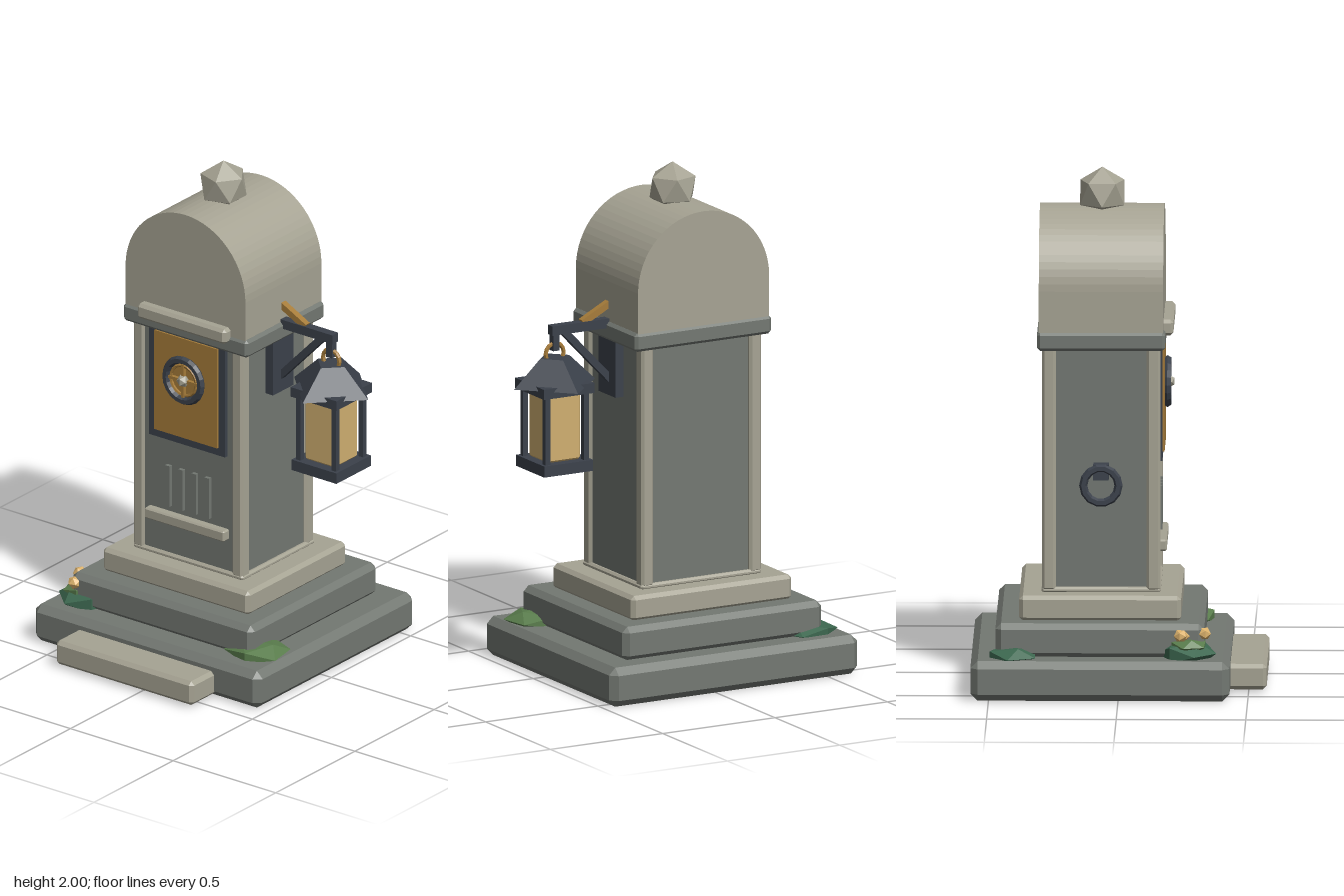
import * as THREE from 'three';
import { ConvexGeometry } from 'three/addons/geometries/ConvexGeometry.js';

const mat = (name, color, flat = true) => {
  const m = new THREE.MeshStandardMaterial({ color, flatShading: flat });
  m.name = name;
  return m;
};

export function createModel() {
  const root = new THREE.Group();
  root.name = 'lanternShrine';
  const darkStone = mat('darkStone', 0x737872);
  const paleStone = mat('paleStone', 0xa6a393);
  const iron = mat('iron', 0x3b414b);
  const brass = mat('brass', 0xa67c3a);
  const glass = mat('glass', 0xd0af70);
  const darkLeaf = mat('darkLeaf', 0x3c674f);
  const leaf = mat('leaf', 0x597c4c);
  const bloom = mat('bloom', 0xdcb26c);
  const CX = -0.08, CZ = -0.07;

  const add = (name, geo, material, x = 0, y = 0, z = 0, parent = root) => {
    const m = new THREE.Mesh(geo, material);
    m.name = name;
    m.position.set(x, y, z);
    parent.add(m);
    return m;
  };

  // Box given by its limits, with chamfered edges when c > 0
  const block = (name, material, x0, x1, y0, y1, z0, z1, c = 0, parent = root) => {
    const w = (x1 - x0) / 2, h = (y1 - y0) / 2, d = (z1 - z0) / 2;
    let geo;
    if (c > 0) {
      const pts = [];
      for (const i of [-1, 1]) for (const j of [-1, 1]) for (const k of [-1, 1]) {
        pts.push(new THREE.Vector3(i * w, j * (h - c), k * (d - c)),
          new THREE.Vector3(i * (w - c), j * h, k * (d - c)),
          new THREE.Vector3(i * (w - c), j * (h - c), k * d));
      }
      geo = new ConvexGeometry(pts);
    } else geo = new THREE.BoxGeometry(2 * w, 2 * h, 2 * d);
    return add(name, geo, material, (x0 + x1) / 2, (y0 + y1) / 2, (z0 + z1) / 2, parent);
  };

  // Square bar between two points in the x-y plane
  const strut = (name, material, ax, ay, bx, by, t, z) => {
    const m = add(name, new THREE.BoxGeometry(Math.hypot(bx - ax, by - ay), t, t),
      material, (ax + bx) / 2, (ay + by) / 2, z);
    m.rotation.z = Math.atan2(by - ay, bx - ax);
    return m;
  };

  // Stepped base
  block('base', darkStone, -0.63, 0.475, 0, 0.155, -0.57, 0.43, 0.028);
  block('middleStep', darkStone, -0.52, 0.365, 0.15, 0.285, -0.475, 0.33, 0.022);
  block('plinth', paleStone, -0.435, 0.28, 0.28, 0.38, -0.385, 0.24, 0.015);
  block('frontStep', paleStone, -0.41, 0.26, 0.01, 0.11, 0.36, 0.57, 0.015);

  // Shaft with corner posts
  block('shaft', darkStone, -0.325, 0.175, 0.37, 1.35, -0.285, 0.148);
  block('shaftFoot', paleStone, -0.345, 0.19, 0.375, 0.398, -0.3, 0.16, 0.008);
  for (const sx of [-1, 1]) for (const sz of [-1, 1]) {
    const x = CX + sx * 0.24, z = CZ + sz * 0.202;
    block('cornerPost', paleStone, x - 0.027, x + 0.027, 0.385, 1.34, z - 0.027, z + 0.027, 0.01);
  }

  // Collar, arched cap, lintel and finial
  block('collar', darkStone, -0.382, 0.225, 1.33, 1.403, -0.317, 0.178, 0.012);
  const R = 0.292;
  const arch = new THREE.Shape();
  arch.moveTo(-R, 1.4);
  arch.lineTo(R, 1.4);
  arch.absarc(0, 1.562, R, 0, Math.PI, false);
  arch.closePath();
  add('archedCap', new THREE.ExtrudeGeometry(arch, { depth: 0.48, bevelEnabled: false, curveSegments: 16 }),
    paleStone, CX, 0, -0.31);
  block('lintel', paleStone, -0.292, 0.14, 1.375, 1.437, 0.15, 0.208, 0.012);
  const ico = new THREE.IcosahedronGeometry(0.1, 0);
  ico.rotateZ(-Math.atan(2 / (1 + Math.sqrt(5))));
  add('finial', ico, paleStone, CX, 1.9, CZ);

  // Framed front panel
  block('panelFrame', iron, -0.262, 0.108, 0.88, 1.34, 0.14, 0.165);
  block('panel', brass, -0.23, 0.076, 0.912, 1.33, 0.16, 0.173);

  // Wheel medallion
  const wheel = new THREE.Group();
  wheel.name = 'medallion';
  wheel.position.set(CX, 1.16, 0.182);
  root.add(wheel);
  add('wheelRim', new THREE.TorusGeometry(0.085, 0.016, 6, 20), iron, 0, 0, 0, wheel);
  add('wheelInnerRing', new THREE.TorusGeometry(0.062, 0.007, 5, 20), brass, 0, 0, 0, wheel);
  add('wheelSpoke', new THREE.BoxGeometry(0.14, 0.012, 0.014), brass, 0, 0, 0, wheel);
  add('wheelSpoke', new THREE.BoxGeometry(0.012, 0.14, 0.014), brass, 0, 0, 0, wheel);
  add('wheelHub', new THREE.IcosahedronGeometry(0.026, 0), paleStone, 0, 0, 0.004, wheel);

  // Raised ribs and sill
  for (let i = 0; i < 4; i++) {
    const x = -0.174 + i * 0.064;
    block('rib', darkStone, x - 0.011, x + 0.011, 0.597, 0.768, 0.14, 0.163);
  }
  block('sill', paleStone, -0.273, 0.115, 0.528, 0.573, 0.14, 0.182, 0.006);

  // Ring handle on the side
  block('handleMount', iron, -0.385, -0.32, 0.825, 0.885, CZ - 0.03, CZ + 0.03);
  const ring = add('ringHandle', new THREE.TorusGeometry(0.068, 0.016, 6, 14), iron, -0.382, 0.805, CZ);
  ring.rotation.y = Math.PI / 2;

  // Bracket for the lantern
  const LX = 0.445;
  block('wallPlate', iron, 0.17, 0.212, 1.11, 1.38, CZ - 0.065, CZ + 0.065);
  block('bracketArm', iron, 0.19, 0.465, 1.378, 1.415, CZ - 0.018, CZ + 0.018);
  strut('bracketBrace', iron, 0.2, 1.17, 0.41, 1.39, 0.028, CZ);
  strut('braceRod', brass, 0.2, 1.475, 0.325, 1.41, 0.026, CZ);
  block('hanger', iron, LX - 0.014, LX + 0.014, 1.315, 1.39, CZ - 0.014, CZ + 0.014);
  add('hangingRing', new THREE.TorusGeometry(0.04, 0.009, 6, 14), brass, LX, 1.303, CZ);

  // Lantern
  const lantern = new THREE.Group();
  lantern.name = 'lantern';
  lantern.position.set(LX, 0, CZ);
  root.add(lantern);
  add('lanternRoof', new THREE.CylinderGeometry(0.065, 0.18, 0.108, 4), iron, 0, 1.234, 0, lantern);
  block('lanternTopPlate', iron, -0.112, 0.112, 1.155, 1.195, -0.112, 0.112, 0, lantern);
  block('lanternFloor', iron, -0.109, 0.109, 0.845, 0.889, -0.109, 0.109, 0, lantern);
  block('lanternGlass', glass, -0.076, 0.076, 0.885, 1.16, -0.076, 0.076, 0.012, lantern);
  for (const sx of [-1, 1]) for (const sz of [-1, 1])
    block('lanternPost', iron, sx * 0.086 - 0.011, sx * 0.086 + 0.011, 0.88, 1.16,
      sz * 0.086 - 0.011, sz * 0.086 + 0.011, 0, lantern);

  // Moss clumps and small blooms on the base
  const clump = (name, material, x, y, z, rx, ry, rz, turn) => {
    const g = new THREE.IcosahedronGeometry(1, 0);
    g.rotateY(turn);
    g.scale(rx, ry, rz);
    return add(name, g, material, x, y, z);
  };
  clump('mossBackRight', darkLeaf, -0.485, 0.158, -0.41, 0.125, 0.04, 0.11, 0.4);
  clump('mossFrontRight', darkLeaf, -0.485, 0.17, 0.265, 0.12, 0.055, 0.115, 0.8);
  clump('mossTuft', leaf, -0.505, 0.2, 0.27, 0.075, 0.032, 0.08, 0.3);
  clump('mossFrontLeft', leaf, 0.335, 0.165, 0.255, 0.135, 0.04, 0.12, 0.15);
  for (const [x, y, z] of [[-0.54, 0.245, 0.24], [-0.497, 0.247, 0.33], [-0.51, 0.24, 0.25]])
    clump('bloom', bloom, x, y, z, 0.028, 0.026, 0.028, x * 9);

  return root;
}
